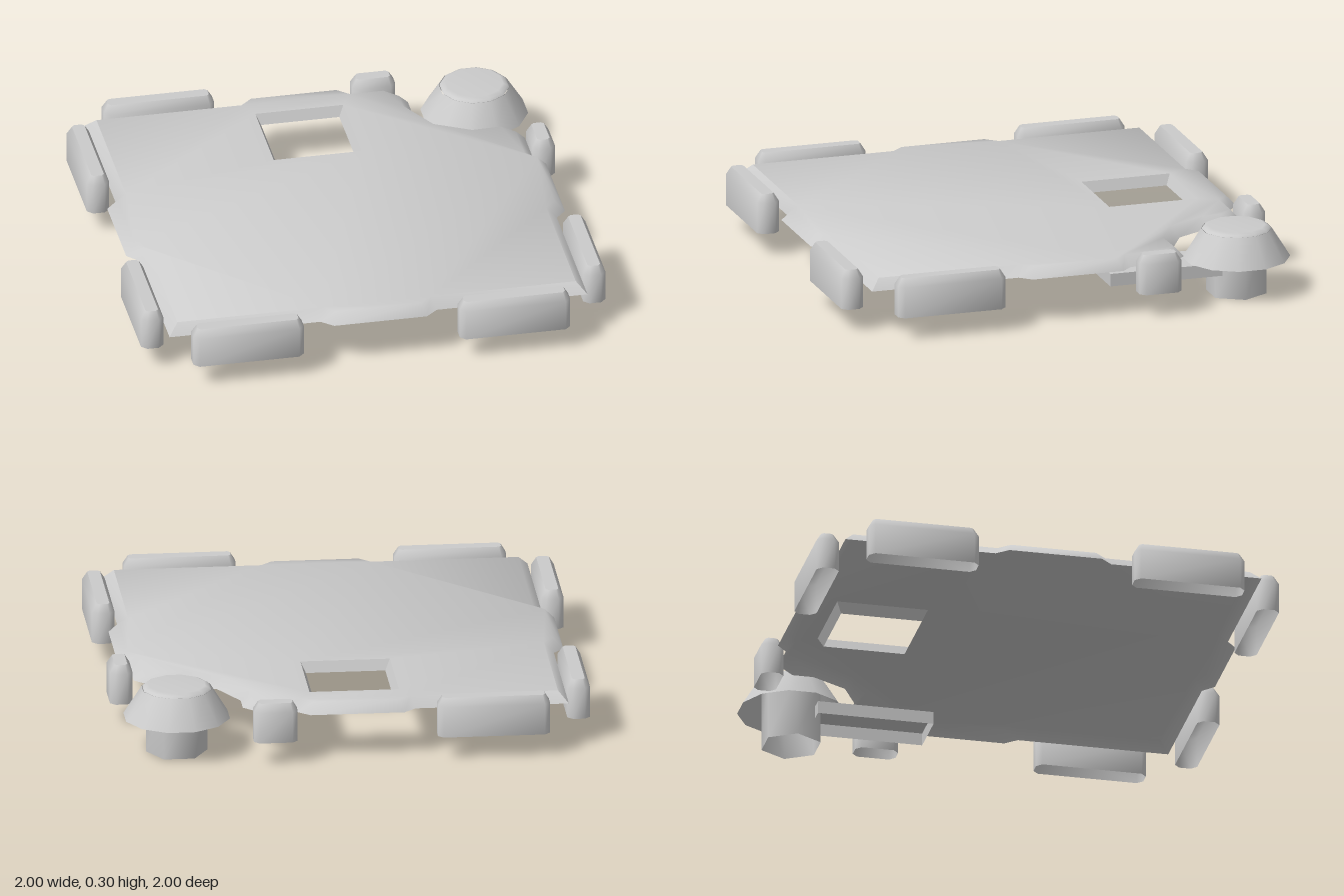
import * as THREE from 'three';
import { toCreasedNormals } from 'three/addons/utils/BufferGeometryUtils.js';

const material = new THREE.MeshStandardMaterial({ color: 0xcccccc, side: THREE.DoubleSide });

// Move every edge of a loop to its left by d, with mitred corners
function inset(loop, d) {
  const n = loop.length;
  const normal = (a, b) => new THREE.Vector2(a[1] - b[1], b[0] - a[0]).normalize();
  return loop.map((p, i) => {
    const n1 = normal(loop[(i + n - 1) % n], p);
    const n2 = normal(p, loop[(i + 1) % n]);
    const m = n1.clone().add(n2).multiplyScalar(d / (1 + n1.dot(n2)));
    return [p[0] + m.x, p[1] + m.y];
  });
}

// Shell, open underneath, from loops in plan (x, -z); layers are [y, inset],
// first loop is counter-clockwise, any others are clockwise holes
function shell(loops, layers, crease, holeFactor = 1) {
  const pos = [];
  const index = [];
  const count = loops.reduce((sum, l) => sum + l.length, 0);
  for (const [y, d] of layers) {
    loops.forEach((l, k) => {
      for (const [x, s] of inset(l, k ? d * holeFactor : d)) pos.push(x, y, -s);
    });
  }
  for (let r = 0; r + 1 < layers.length; r++) {
    let start = r * count;
    for (const l of loops) {
      for (let i = 0; i < l.length; i++) {
        const a = start + i;
        const b = start + (i + 1) % l.length;
        index.push(a, b, b + count, a, b + count, a + count);
      }
      start += l.length;
    }
  }
  const [contour, ...holes] = loops.map(l => l.map(p => new THREE.Vector2(...p)));
  const top = (layers.length - 1) * count;
  for (const [a, b, c] of THREE.ShapeUtils.triangulateShape(contour, holes)) {
    index.push(top + a, top + b, top + c);
  }
  const g = new THREE.BufferGeometry();
  g.setAttribute('position', new THREE.Float32BufferAttribute(pos, 3));
  g.setIndex(index);
  return toCreasedNormals(g, crease);
}

export function createModel() {
  const model = new THREE.Group();
  const add = (name, geometry, x = 0, y = 0, z = 0) => {
    const mesh = new THREE.Mesh(geometry, material);
    mesh.name = name;
    mesh.position.set(x, y, z);
    model.add(mesh);
    return mesh;
  };

  // Thin floor plate with a sloped skirt, edge tabs, a notched corner and a square hole
  const outline = [
    [-0.9, -0.9], [-0.25, -0.9], [-0.2, -0.945], [0.2, -0.945], [0.25, -0.9], [0.9, -0.9],
    [0.9, -0.25], [0.945, -0.2], [0.945, 0.2], [0.9, 0.25], [0.9, 0.43],
    [0.82, 0.51], [0.69, 0.505], [0.56, 0.575], [0.475, 0.73], [0.475, 0.82], [0.395, 0.9],
    [0.25, 0.9], [0.2, 0.945], [-0.2, 0.945], [-0.25, 0.9], [-0.9, 0.9],
    [-0.9, 0.25], [-0.945, 0.2], [-0.945, -0.2], [-0.9, -0.25],
  ];
  const hole = [[-0.17, 0.405], [-0.17, 0.755], [0.167, 0.755], [0.167, 0.405]];
  add('floorPlate', shell([outline, hole], [[0.2, 0], [0.245, 0.042]], 0.9, 0.5));

  // Hollow rounded bumpers around the edges: [name, centre x, centre z, length, turned]
  const bumpers = [
    ['backRightBumper', -0.575, -0.952, 0.475, false],
    ['backLeftBumper', 0.35, -0.952, 0.185, false],
    ['frontRightBumper', -0.575, 0.952, 0.475, false],
    ['frontLeftBumper', 0.572, 0.952, 0.475, false],
    ['rightRearBumper', -0.952, -0.578, 0.475, true],
    ['rightFrontBumper', -0.952, 0.572, 0.475, true],
    ['leftRearBumper', 0.952, -0.355, 0.185, true],
    ['leftFrontBumper', 0.952, 0.572, 0.475, true],
  ];
  for (const [name, x, z, length, turned] of bumpers) {
    const l = length / 2, w = 0.048, c = 0.023;
    const plan = [
      [-l + c, -w], [l - c, -w], [l, -w + c], [l, w - c],
      [l - c, w], [-l + c, w], [-l, w - c], [-l, -w + c],
    ];
    const mesh = add(name, shell([plan], [[0.1, 0], [0.235, 0], [0.27, 0.021]], 1), x, 0, z);
    if (turned) mesh.rotation.y = Math.PI / 2;
  }

  // Corner post: hollow hexagonal stem under a twelve-sided open cap
  const px = 0.75, pz = -0.765;
  const stem = new THREE.CylinderGeometry(0.131, 0.131, 0.28, 6, 1, true).rotateY(Math.PI / 6);
  add('postStem', toCreasedNormals(stem, 1.1), px, 0.14, pz);
  const cap = new THREE.CylinderGeometry(0.15, 0.228, 0.125, 12, 1, true).rotateY(Math.PI / 12);
  add('postCap', toCreasedNormals(cap, 0.6), px, 0.2175, pz);
  const crown = [[0.148, 0.28], [0.14, 0.288], [0.122, 0.296], [0, 0.296]];
  add('postCrown', new THREE.LatheGeometry(crown.map(p => new THREE.Vector2(...p)), 12)
    .rotateY(Math.PI / 12), px, 0, pz);

  // Open-bottomed bracket holding the post under the plate
  const bracket = [[0.61, 0.18], [0.83, 0.18], [0.83, 0.68], [0.61, 0.68]];
  add('bracket', shell([bracket], [[0.1, 0], [0.155, 0]], 0.3));
  return model;
}
